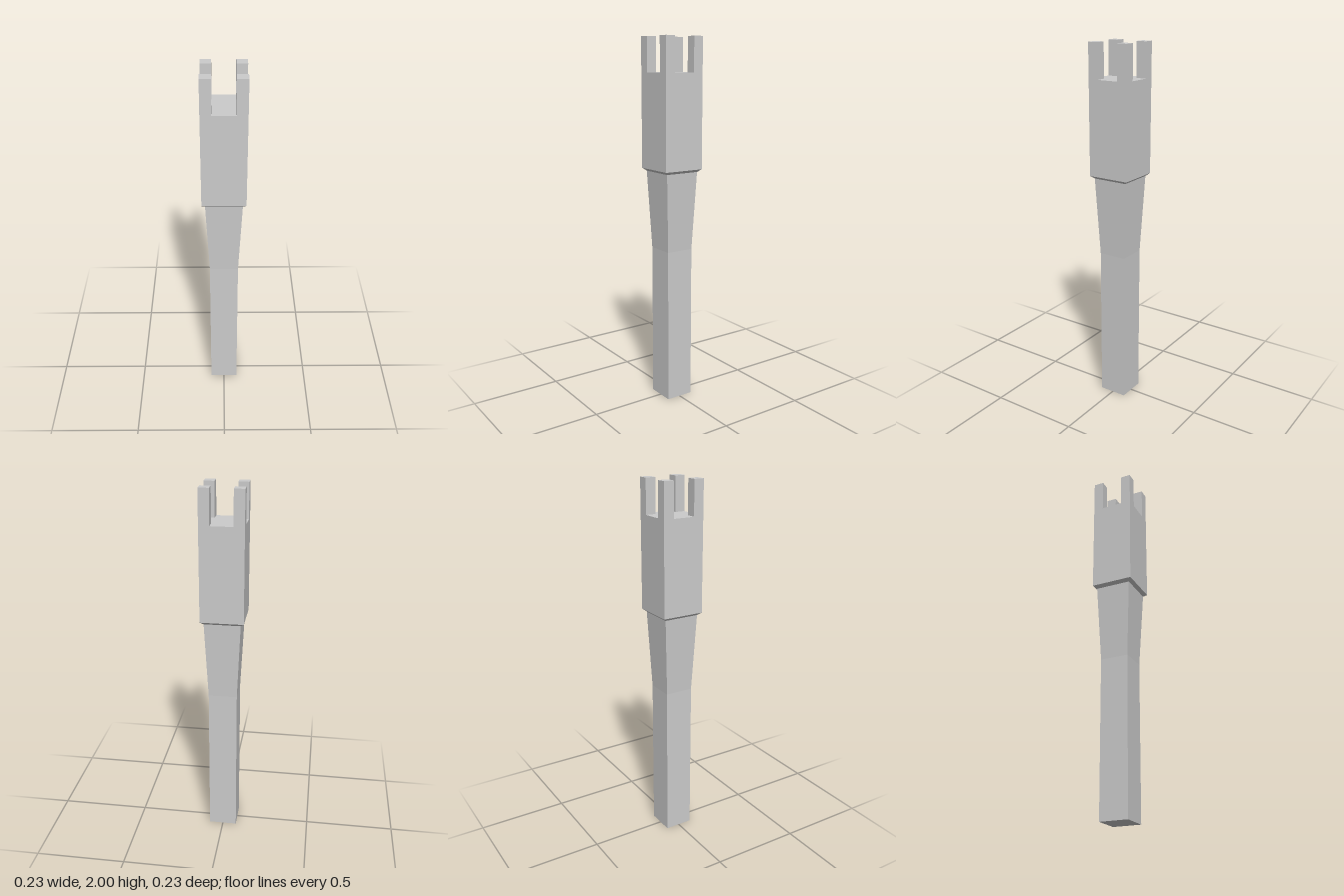
import * as THREE from 'three';

const HALF = 0.116;   // half width of the head
const SLOT = 0.06;    // half width of the slots between prongs
const SLOT_Y = 1.815; // floor of the slots
const TOP = 2;

export function createModel() {
  const model = new THREE.Group();
  model.name = 'squarePost';
  const material = new THREE.MeshStandardMaterial({ color: 0xcccccc, flatShading: true });

  // Square section swept through [half width, height] pairs, bottom to top
  const addSquare = (name, profile) => {
    const points = profile.map(([half, y]) => new THREE.Vector2(half * Math.SQRT2, y));
    const mesh = new THREE.Mesh(new THREE.LatheGeometry(points, 4, Math.PI / 4), material);
    mesh.name = name;
    model.add(mesh);
  };

  // Straight shaft, closed at the foot
  addSquare('shaft', [[0, 0], [0.078, 0], [0.078, 0.86]]);
  // Neck widening towards the head
  addSquare('neck', [[0.078, 0.86], [0.098, 1.29]]);
  // Head with a bevelled underside and a flat slot floor
  addSquare('head', [[0.098, 1.29], [HALF, 1.305], [HALF, SLOT_Y], [0, SLOT_Y]]);

  // Four corner prongs
  const width = HALF - SLOT;
  const prongGeometry = new THREE.BoxGeometry(width, TOP - SLOT_Y, width);
  const centre = (HALF + SLOT) / 2;
  for (const [sx, side] of [[1, 'Left'], [-1, 'Right']]) {
    for (const [sz, end] of [[1, 'front'], [-1, 'back']]) {
      const prong = new THREE.Mesh(prongGeometry, material);
      prong.name = `${end}${side}Prong`;
      prong.position.set(sx * centre, (TOP + SLOT_Y) / 2, sz * centre);
      model.add(prong);
    }
  }
  return model;
}
